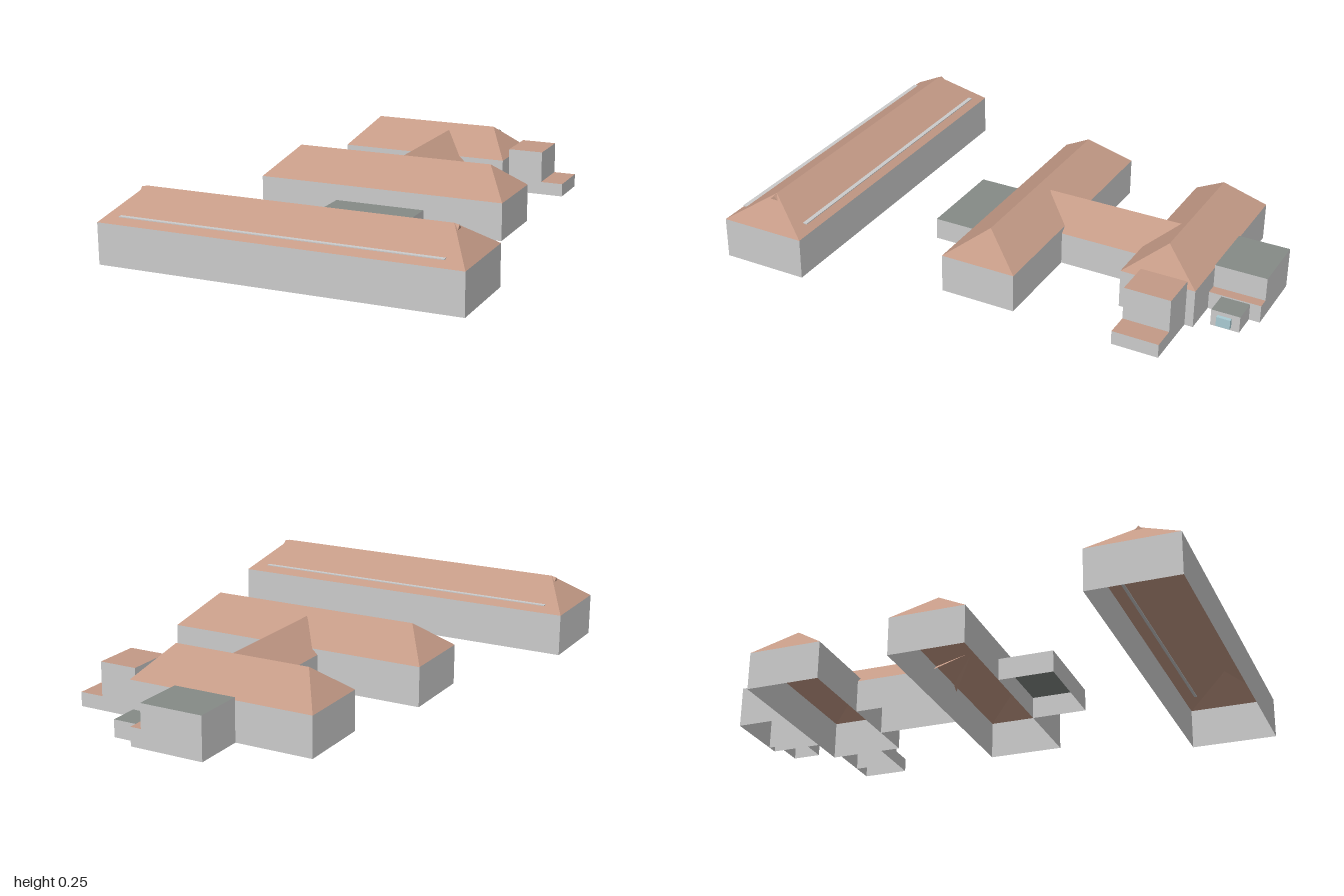
import * as THREE from 'three';

const mat = (color) => new THREE.MeshStandardMaterial({ color, side: THREE.DoubleSide, flatShading: true });

export function createModel() {
  const model = new THREE.Group();
  model.name = 'schoolComplex';
  // All buildings share one plan direction, turned 20 degrees
  const site = new THREE.Group();
  site.name = 'buildings';
  site.rotation.y = THREE.MathUtils.degToRad(20);
  model.add(site);

  const wallMat = mat(0xcccccc), tileMat = mat(0xc49a86), flatMat = mat(0x858b87), glassMat = mat(0xa9cbd3);

  const add = (parent, name, geo, material) => {
    const mesh = new THREE.Mesh(geo, material);
    mesh.name = name;
    parent.add(mesh);
    return mesh;
  };
  const newPart = (name) => {
    const g = new THREE.Group();
    g.name = name;
    site.add(g);
    return g;
  };

  // Four upright walls, open at top and bottom
  const walls = (parent, [x0, x1, z0, z1], y0, y1) => {
    const geo = new THREE.CylinderGeometry(Math.SQRT1_2, Math.SQRT1_2, 1, 4, 1, true);
    geo.rotateY(Math.PI / 4);
    geo.scale(x1 - x0, y1 - y0, z1 - z0);
    geo.translate((x0 + x1) / 2, (y0 + y1) / 2, (z0 + z1) / 2);
    const flat = geo.toNonIndexed();
    flat.computeVertexNormals();
    return add(parent, 'walls', flat, wallMat);
  };

  const faces = (points, index) => {
    const geo = new THREE.BufferGeometry();
    geo.setAttribute('position', new THREE.Float32BufferAttribute(points.flat(), 3));
    geo.setIndex(index);
    const flat = geo.toNonIndexed();
    flat.computeVertexNormals();
    return flat;
  };

  // Long building with a hipped roof
  const hipBuilding = (name, rect, eave, ridge, inset) => {
    const [x0, x1, z0, z1] = rect, zm = (z0 + z1) / 2;
    const g = newPart(name);
    walls(g, rect, 0, eave);
    add(g, 'hippedRoof', faces([
      [x0, eave, z1], [x1, eave, z1], [x1, eave, z0], [x0, eave, z0],
      [x0 + inset, ridge, zm], [x1 - inset, ridge, zm],
    ], [0, 1, 5, 0, 5, 4, 2, 3, 4, 2, 4, 5, 1, 2, 5, 3, 0, 4]), tileMat);
    return g;
  };

  // Small building with a flat top
  const flatBuilding = (name, rect, height, roofMat) => {
    const [x0, x1, z0, z1] = rect;
    const g = newPart(name);
    walls(g, rect, 0, height);
    const top = new THREE.PlaneGeometry(x1 - x0, z1 - z0).rotateX(-Math.PI / 2);
    top.translate((x0 + x1) / 2, height, (z0 + z1) / 2);
    add(g, 'flatRoof', top, roofMat);
    return g;
  };

  // Front hall, with long roof strips and ridge vents
  const hall = hipBuilding('frontHall', [-0.793, 0.538, 0.458, 0.776], 0.15, 0.25, 0.1);
  for (const z of [0.49, 0.744]) {
    const strip = add(hall, 'roofStrip', new THREE.BoxGeometry(1.18, 0.003, 0.022), wallMat);
    strip.position.set(-0.13, 0.172, z);
  }
  for (const [x, s] of [[0.438, 1], [-0.693, -1]]) {
    add(hall, 'ridgeVent', faces([
      [x, 0.249, 0.617], [x + s * 0.018, 0.246, 0.617],
      [x + s * 0.018, 0.232, 0.602], [x + s * 0.018, 0.232, 0.632],
      [x, 0.232, 0.602], [x, 0.232, 0.632],
    ], s > 0 ? [1, 3, 2, 0, 5, 3, 0, 3, 1, 0, 1, 2, 0, 2, 4]
      : [1, 2, 3, 0, 3, 5, 0, 1, 3, 0, 2, 1, 0, 4, 2]), tileMat);
  }

  // Middle and rear wings
  hipBuilding('middleWing', [-0.59, 0.37, -0.296, -0.018], 0.14, 0.24, 0.096);
  hipBuilding('rearWing', [-0.51, 0.164, -0.868, -0.596], 0.14, 0.24, 0.09);

  // Gabled link between the wings; its roof runs into both slopes
  const link = newPart('link');
  const linkX = [-0.205, 0.004], mid = -0.105;
  for (const x of linkX) {
    const side = new THREE.PlaneGeometry(0.3, 0.12).rotateY(Math.PI / 2);
    side.translate(x, 0.06, -0.446);
    add(link, 'linkWall', side, wallMat);
  }
  add(link, 'gableRoof', faces([
    [linkX[0], 0.12, -0.596], [linkX[0], 0.12, -0.296],
    [mid, 0.217, -0.7], [mid, 0.217, -0.192],
    [linkX[1], 0.12, -0.596], [linkX[1], 0.12, -0.296],
  ], [0, 1, 3, 0, 3, 2, 5, 4, 2, 5, 2, 3]), tileMat);

  // Flat-roofed additions
  flatBuilding('frontAnnex', [-0.281, 0.068, -0.018, 0.182], 0.08, flatMat);
  flatBuilding('sideTower', [0.164, 0.3, -0.838, -0.67], 0.17, tileMat);
  flatBuilding('sideStore', [0.3, 0.386, -0.838, -0.67], 0.05, tileMat);
  flatBuilding('rearAnnex', [-0.234, -0.01, -1.055, -0.868], 0.15, flatMat);
  flatBuilding('rearPassage', [-0.01, 0.03, -1.055, -0.868], 0.065, tileMat);
  const porch = flatBuilding('rearPorch', [0.03, 0.121, -1.016, -0.913], 0.06, flatMat);
  const glass = add(porch, 'porchGlazing', new THREE.BoxGeometry(0.014, 0.035, 0.05), glassMat);
  glass.position.set(0.128, 0.028, -0.962);

  return model;
}
